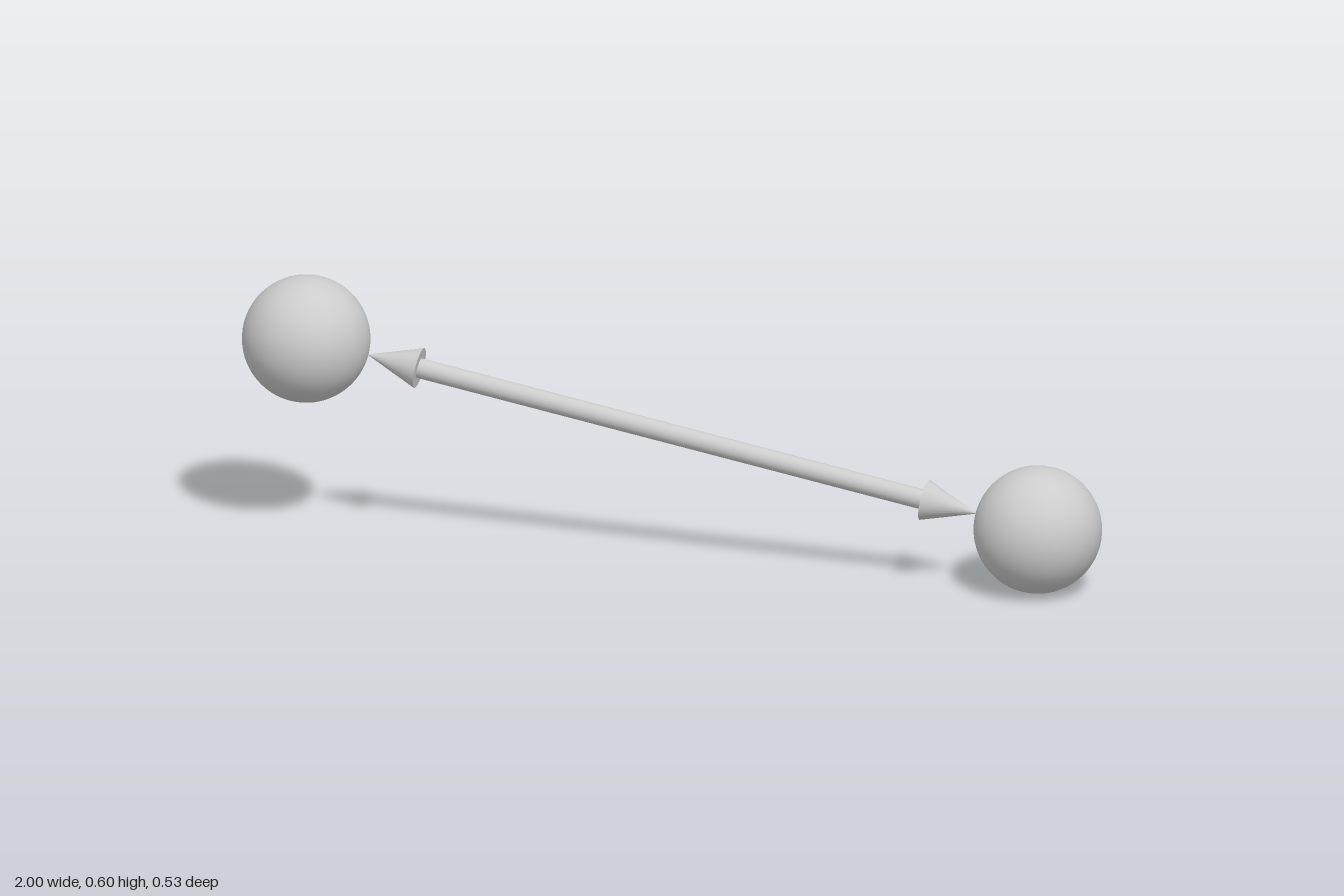
import * as THREE from 'three';

const BALL_RADIUS = 0.146;
const HEAD_RADIUS = 0.047;
const HEAD_LENGTH = 0.125;
const SHAFT_RADIUS = 0.023;

export function createModel() {
  const model = new THREE.Group();
  const material = new THREE.MeshStandardMaterial({ color: 0xcccccc });

  // The link is built upright along y, then tilted onto the line between the balls
  const start = new THREE.Vector3(-0.854, 0.457, 0.117);
  const end = new THREE.Vector3(0.854, 0.146, -0.117);
  const axis = end.clone().sub(start);
  const half = axis.length() / 2;
  const link = new THREE.Group();
  link.name = 'ballLink';
  link.position.copy(start).lerp(end, 0.5);
  link.quaternion.setFromUnitVectors(new THREE.Vector3(0, 1, 0), axis.normalize());
  model.add(link);

  const add = (name, geometry, y = 0) => {
    const mesh = new THREE.Mesh(geometry, material);
    mesh.name = name;
    mesh.position.y = y;
    link.add(mesh);
    return mesh;
  };

  // Arrow tips touch the ball surfaces; the shaft joins the two head bases
  const tip = half - BALL_RADIUS;
  const base = tip - HEAD_LENGTH;
  add('arrowShaft', new THREE.CylinderGeometry(SHAFT_RADIUS, SHAFT_RADIUS, base * 2, 20));

  for (const [side, sign] of [['left', 1], ['right', -1]]) {
    add(side + 'Ball', new THREE.SphereGeometry(BALL_RADIUS, 48, 32), sign * half);
    const head = add(side + 'ArrowHead',
      new THREE.ConeGeometry(HEAD_RADIUS, HEAD_LENGTH, 24), sign * (base + HEAD_LENGTH / 2));
    if (sign < 0) head.rotation.x = Math.PI;
  }

  return model;
}
